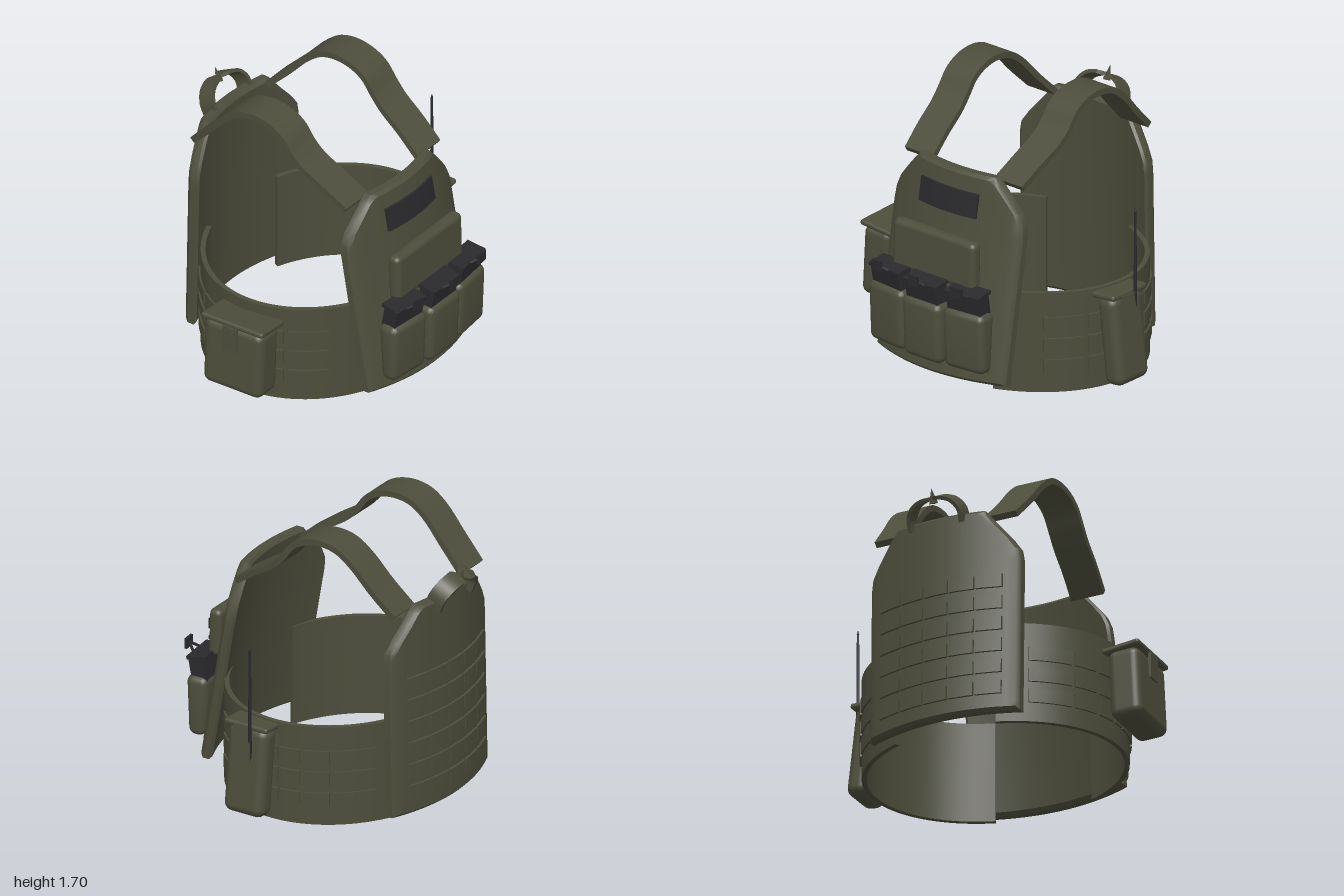
import * as THREE from 'three';
import { toCreasedNormals } from 'three/addons/utils/BufferGeometryUtils.js';
import { RoundedBoxGeometry } from 'three/addons/geometries/RoundedBoxGeometry.js';

const olive = new THREE.MeshStandardMaterial({ color: 0x4c4d3b });
olive.name = 'olive fabric';
const black = new THREE.MeshStandardMaterial({ color: 0x2a2a2d });
black.name = 'black polymer';
const CX = 0.015; // centre line of the vest

// Outer faces of the two curved panels
const bulge = (x) => 0.11 * ((x - CX) / 0.495) ** 2;
const frontZ = (x, y) => 0.775 - 0.174 * y - bulge(x);
const backZ = (x, y) => -0.822 + 0.02 * y + bulge(x);

// Move every vertex of a geometry by a rule, then rebuild normals
function warp(geo, rule, crease = 0.6) {
  const p = geo.attributes.position, v = new THREE.Vector3();
  for (let i = 0; i < p.count; i++) {
    v.fromBufferAttribute(p, i);
    rule(v);
    p.setXYZ(i, v.x, v.y, v.z);
  }
  return toCreasedNormals(geo, crease);
}

// Curved armour panel with clipped shoulders and bevelled rims
function panelGeometry(rows, surface, side) {
  const n = rows.length - 1, t = 0.08, b = 0.018;
  const bottom = rows[0][0], top = rows[n][0];
  return warp(new THREE.BoxGeometry(2, 1, 1, 20, n, 3), (v) => {
    const [y, w] = rows[Math.round((v.y + 0.5) * n)];
    const rim = Math.abs(v.z) > 0.4;
    const yy = rim ? THREE.MathUtils.clamp(y, bottom + b, top - b) : y;
    const x = CX + v.x * (rim ? w - b : w);
    const depth = Math.sign(v.z) * (rim ? t / 2 : t / 2 - b);
    v.set(x, yy, surface(x, yy) - side * t / 2 + depth);
  });
}

// Thin plate lying on a panel
function plate(w, h, t, x, y, surface) {
  return warp(new THREE.BoxGeometry(w, h, t, 8, 1, 1), (v) => {
    v.x += x;
    v.y += y;
    v.z += surface(v.x, v.y);
  });
}

// Curved band around the waist, angle 0 at the front
function waistBand(a0, a1, y0, y1, inner, outer, segs) {
  return warp(new THREE.BoxGeometry(1, 1, 1, segs, 1, 1), (v) => {
    const a = a0 + (v.x + 0.5) * (a1 - a0);
    const r = v.z > 0 ? outer : inner;
    v.set(CX + 0.005 + (0.81 + r) * Math.sin(a), v.y > 0 ? y1 : y0, -0.06 + (0.68 + r) * Math.cos(a));
  });
}

// Flat ribbon swept along a curve
function ribbon(points, across, width, thick, segs) {
  const curve = new THREE.CatmullRomCurve3(points.map((p) => new THREE.Vector3(...p)));
  const W = new THREE.Vector3(...across).normalize();
  return warp(new THREE.BoxGeometry(1, 1, 1, 2, 1, segs), (v) => {
    const t = v.z + 0.5;
    const N = curve.getTangent(t).cross(W).normalize();
    const o = curve.getPoint(t).addScaledVector(W, v.x * width(t)).addScaledVector(N, v.y * thick);
    v.copy(o);
  }, 0.8);
}

export function createModel() {
  const model = new THREE.Group();
  model.name = 'plateCarrier';
  const add = (name, geo, mat = olive, pos = [0, 0, 0], rot = [0, 0, 0], parent = model) => {
    const m = new THREE.Mesh(geo, mat);
    m.name = name;
    m.position.set(...pos);
    m.rotation.set(...rot);
    parent.add(m);
    return m;
  };
  const soft = (w, h, d, r) => new RoundedBoxGeometry(w, h, d, 4, r);

  // Front and back panels
  const frontRows = [[0.09, 0.495], [0.13, 0.495], [0.5, 0.495], [0.98, 0.495], [1.05, 0.487], [1.12, 0.455], [1.2, 0.39], [1.27, 0.33], [1.315, 0.29]];
  const backRows = [[0.045, 0.495], [0.09, 0.495], [0.5, 0.495], [1.02, 0.495], [1.09, 0.485], [1.16, 0.44], [1.24, 0.375], [1.31, 0.32], [1.35, 0.29]];
  add('frontPanel', panelGeometry(frontRows, frontZ, 1));
  add('backPanel', panelGeometry(backRows, backZ, -1));

  // Webbing on the panels
  for (let row = 0; row < 6; row++)
    for (let col = -2; col <= 2; col++)
      add('backWebbing', plate(0.153, 0.085, 0.03, CX + col * 0.163, 0.19 + row * 0.138, backZ));
  for (let col = -2; col <= 2; col++)
    add('frontWebbing', plate(0.153, 0.085, 0.03, CX + col * 0.163, 0.205, frontZ));

  // Cummerbund halves with three rows of webbing
  const spans = [[0.81, 1.14], [1.18, 1.5], [1.52, 1.64], [1.66, 1.84], [1.88, 2.09], [2.12, 2.47]];
  for (const s of [1, -1]) {
    const band = (a, b, ...rest) => (s > 0 ? waistBand(a, b, ...rest) : waistBand(-b, -a, ...rest));
    add('cummerbund', band(0.42, Math.PI - 0.42, 0.01, 0.64, -0.03, 0, 40));
    for (const y of [0.13, 0.265, 0.4])
      for (const [a, b] of spans) add('sideWebbing', band(a, b, y, y + 0.088, -0.005, 0.012, 6));
  }

  // Shoulder straps
  const strapPath = [[0.345, 1.27, 0.43], [0.37, 1.375, 0.28], [0.388, 1.465, 0.14], [0.395, 1.535, 0.07], [0.395, 1.625, 0], [0.395, 1.675, -0.09],
    [0.395, 1.692, -0.2], [0.395, 1.67, -0.31], [0.392, 1.6, -0.41], [0.38, 1.46, -0.54], [0.36, 1.32, -0.68]];
  for (const s of [1, -1])
    add('shoulderStrap', ribbon(strapPath.map(([x, y, z]) => [CX + s * x, y, z]), [1, 0, 0], () => 0.215, 0.038, 44));

  // Drag handle with a pinched middle
  const handlePath = [[-0.165, 1.3, -0.765], [-0.165, 1.37, -0.795], [-0.125, 1.425, -0.825], [-0.06, 1.45, -0.84], [0, 1.452, -0.84],
    [0.06, 1.45, -0.84], [0.125, 1.425, -0.825], [0.165, 1.37, -0.795], [0.165, 1.3, -0.765]];
  const pinch = (t) => 0.035 + 0.075 * Math.min(1, Math.abs(t - 0.5) / 0.07);
  add('dragHandle', ribbon(handlePath.map(([x, y, z]) => [CX + x, y, z]), [0, -0.45, -0.85], pinch, 0.022, 40));
  add('handleKnot', new THREE.ConeGeometry(0.03, 0.09, 4), olive, [CX, 1.465, -0.85], [-0.35, 0, 0]);

  // Chest patch and admin pouch
  add('chestPatch', plate(0.44, 0.145, 0.03, 0.012, 1.133, frontZ), black);
  add('adminPouch', soft(0.63, 0.3, 0.085, 0.035), olive, [CX, 0.81, 0.675], [-0.03, 0, 0]);

  // Three magazine pouches, each with a magazine and pull tab
  for (const i of [-1, 0, 1]) {
    const g = new THREE.Group();
    g.name = 'magazinePouch';
    g.position.set(CX + i * 0.295, 0, i ? 0.738 : 0.768);
    g.rotation.y = i * 0.1;
    model.add(g);
    add('pouchBody', warp(soft(0.29, 0.38, 0.14, 0.045), (v) => {
      v.z += 0.02 * (v.y < -0.1 ? -1 : 0) * (v.z > 0 ? 1 : -0.5);
    }, 1), olive, [0, 0.37, 0], [-0.03, 0, 0], g);
    add('magazine', warp(new THREE.BoxGeometry(0.235, 0.17, 0.1), (v) => {
      v.z -= 0.06 * (0.085 - v.y);
    }), black, [0, 0.59, 0.0], [0.12, 0, 0], g);
    add('magazineBase', new THREE.BoxGeometry(0.25, 0.022, 0.125), black, [0, 0.675, 0.005], [0.15, 0, 0], g);
    for (const s of [1, -1])
      add('pullTabArm', new THREE.BoxGeometry(0.012, 0.012, 0.08), black, [s * 0.02, 0.69, 0.09], [-0.6, -s * 0.55, 0], g);
    add('pullTab', new THREE.BoxGeometry(0.075, 0.065, 0.016), black, [0, 0.708, 0.117], [0, 0, 0], g);
  }

  // Radio pouch on the left hip, with lid, tab and antenna
  const radio = new THREE.Group();
  radio.name = 'radioPouch';
  model.add(radio);
  add('radioBody', soft(0.14, 0.555, 0.275, 0.055), olive, [0.905, 0.335, 0.04], [0, 0, 0.12], radio);
  add('radioLid', soft(0.175, 0.035, 0.3, 0.015), olive, [0.872, 0.618, 0.04], [0, 0, 0.08], radio);
  add('radioTab', new THREE.BoxGeometry(0.02, 0.215, 0.12), olive, [0.967, 0.515, 0.055], [0, 0, 0.1], radio);
  add('antenna', new THREE.CylinderGeometry(0.007, 0.012, 0.7, 10), black, [0.965, 0.78, 0.002], [0, 0, 0], radio);
  add('antennaTip', new THREE.ConeGeometry(0.008, 0.03, 10), black, [0.965, 1.145, 0.002], [0, 0, 0], radio);

  // Utility pouch on the right hip
  const utility = new THREE.Group();
  utility.name = 'utilityPouch';
  model.add(utility);
  add('utilityBody', soft(0.2, 0.44, 0.41, 0.05), olive, [-0.887, 0.34, 0.005], [0, 0.06, -0.05], utility);
  add('utilityLid', soft(0.24, 0.035, 0.43, 0.015), olive, [-0.868, 0.567, 0.005], [0, 0.06, -0.13], utility);
  add('utilityTab', new THREE.BoxGeometry(0.018, 0.16, 0.1), olive, [-0.988, 0.49, 0.005], [0, 0.06, 0], utility);

  return model;
}
